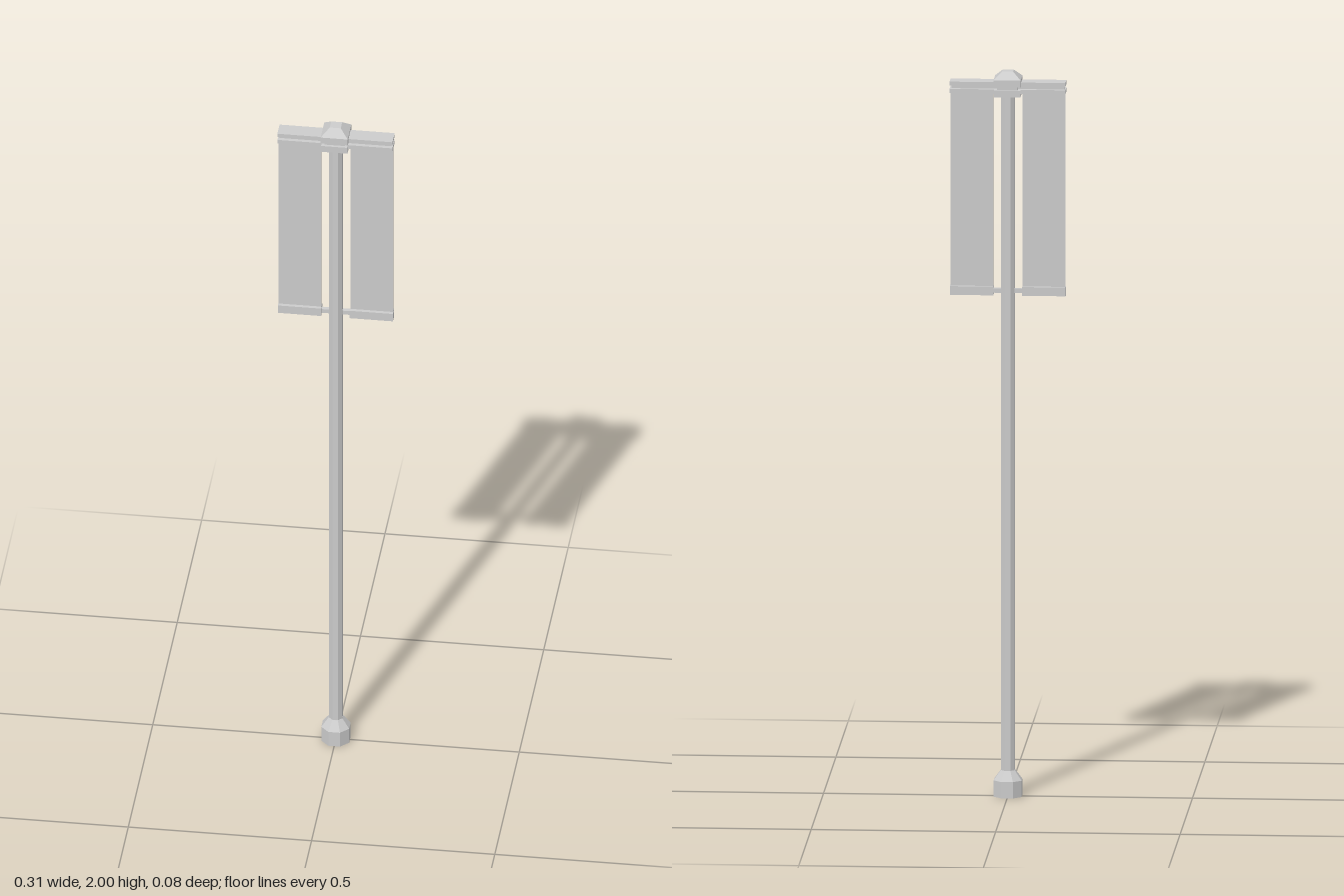
import * as THREE from 'three';

const material = new THREE.MeshStandardMaterial({ color: 0xcccccc, flatShading: true });

export function createModel() {
  const model = new THREE.Group();

  const add = (name, geometry, x, y, z = 0) => {
    const mesh = new THREE.Mesh(geometry, material);
    mesh.name = name;
    mesh.position.set(x, y, z);
    model.add(mesh);
    return mesh;
  };
  const box = (name, w, y0, y1, d, x = 0) =>
    add(name, new THREE.BoxGeometry(w, y1 - y0, d), x, (y0 + y1) / 2);

  // Prism or frustum sized by the half-width across its flats
  const prism = (name, bottom, top, y0, y1, sides) => {
    const k = 1 / Math.cos(Math.PI / sides);
    const g = new THREE.CylinderGeometry(top * k, bottom * k, y1 - y0, sides);
    g.rotateY(Math.PI / sides);
    return add(name, g, 0, (y0 + y1) / 2);
  };

  // Octagonal foot and pole
  prism('base', 0.038, 0.038, 0, 0.045, 8);
  prism('baseShoulder', 0.038, 0.019, 0.045, 0.072, 8);
  prism('pole', 0.018, 0.018, 0.07, 1.95, 8);

  // Square head with a bevelled cap
  prism('collar', 0.036, 0.036, 1.933, 1.952, 4);
  prism('neck', 0.028, 0.028, 1.95, 1.963, 4);
  prism('capRim', 0.037, 0.037, 1.961, 1.98, 4);
  prism('capTop', 0.037, 0.015, 1.98, 2.0, 4);

  // Twin crossbars with a recessed core
  box('upperCrossbar', 0.314, 1.961, 1.972, 0.045);
  box('crossbarCore', 0.306, 1.95, 1.963, 0.024);
  box('lowerCrossbar', 0.314, 1.94, 1.952, 0.045);

  // Hanging banners, each with a weighted hem
  for (const side of [1, -1]) {
    box('banner', 0.116, 1.39, 1.942, 0.006, side * 0.098);
    box('bannerHem', 0.118, 1.382, 1.406, 0.026, side * 0.098);
  }
  box('hemBracket', 0.084, 1.388, 1.4, 0.012);

  return model;
}
